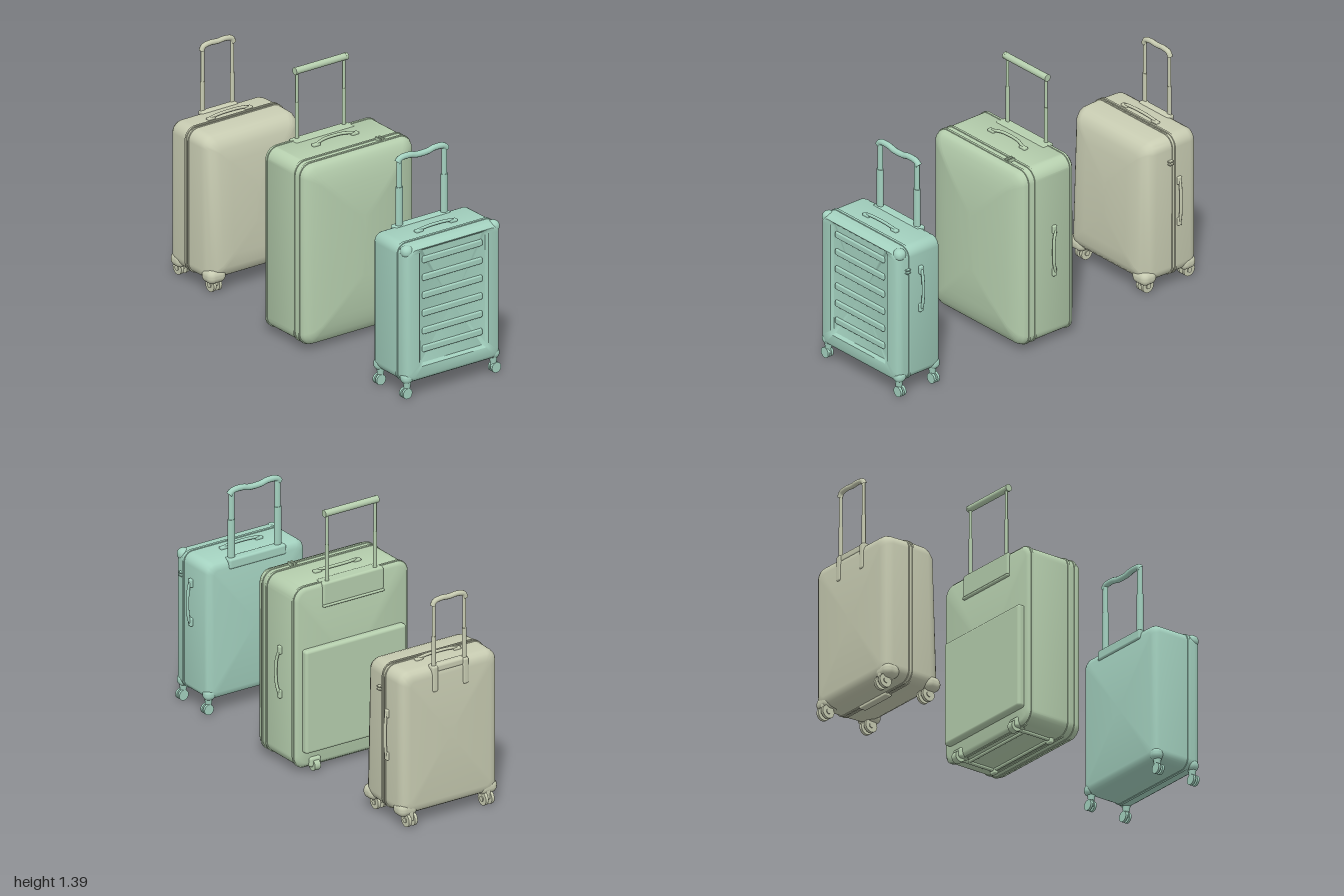
import * as THREE from 'three';
import { toCreasedNormals } from 'three/addons/utils/BufferGeometryUtils.js';
import { RoundedBoxGeometry } from 'three/addons/geometries/RoundedBoxGeometry.js';

// Rounded rectangle loop, counter-clockwise seen from +z
function loop(x0, x1, y0, y1, r, z) {
  r = Math.max(0.004, Math.min(r, (x1 - x0) / 2.1, (y1 - y0) / 2.1));
  const pts = [], n = 8;
  [[x1 - r, y1 - r], [x0 + r, y1 - r], [x0 + r, y0 + r], [x1 - r, y0 + r]].forEach(([cx, cy], q) => {
    for (let i = 0; i <= n; i++) {
      const a = (q + i / n) * Math.PI / 2;
      pts.push([cx + r * Math.cos(a), cy + r * Math.sin(a), z]);
    }
  });
  return pts;
}

// Shell lofted through rounded rectangles; profile rows are [z, inset, top inset]
function shell(b, profile, bend = (x, y, z) => z) {
  const rings = profile.map(([z, i, t = i]) =>
    loop(b.x0 + i, b.x1 - i, b.y0 + i, b.y1 - t, Math.max(b.r - i * 0.6, 0.02), z));
  const n = rings[0].length, pos = [], idx = [];
  rings.flat().forEach(([x, y, z]) => pos.push(x, y, bend(x, y, z)));
  for (let k = 0; k < rings.length - 1; k++) for (let j = 0; j < n; j++) {
    const a = k * n + j, c = k * n + (j + 1) % n;
    idx.push(a, c, c + n, a, c + n, a + n);
  }
  // end caps
  [0, rings.length - 1].forEach((k) => {
    const x = (b.x0 + b.x1) / 2, y = (b.y0 + b.y1) / 2, m = pos.length / 3;
    pos.push(x, y, bend(x, y, profile[k][0]));
    for (let j = 0; j < n; j++) {
      const a = k * n + j, c = k * n + (j + 1) % n;
      idx.push(m, ...(k ? [a, c] : [c, a]));
    }
  });
  const g = new THREE.BufferGeometry();
  g.setAttribute('position', new THREE.Float32BufferAttribute(pos, 3));
  g.setIndex(idx);
  return toCreasedNormals(g, 0.7);
}

// A suitcase group with helpers that share one material
function kit(name, color) {
  const group = new THREE.Group();
  group.name = name;
  const mat = new THREE.MeshStandardMaterial({ color });
  const add = (part, geo, x = 0, y = 0, z = 0) => {
    const m = new THREE.Mesh(geo, mat);
    m.name = part;
    m.position.set(x, y, z);
    group.add(m);
    return m;
  };
  const box = (part, x0, x1, y0, y1, z0, z1, r = 0.006) => add(part,
    new RoundedBoxGeometry(x1 - x0, y1 - y0, z1 - z0, 3, r), (x0 + x1) / 2, (y0 + y1) / 2, (z0 + z1) / 2);
  const tube = (part, pts, r) => add(part, new THREE.TubeGeometry(
    new THREE.CatmullRomCurve3(pts.map((p) => new THREE.Vector3(...p))), 32, r, 10));
  const disc = (part, axis, r, w, x, y, z) => {
    const m = add(part, new THREE.CylinderGeometry(r, r, w, 24), x, y, z);
    if (axis === 'x') m.rotation.z = Math.PI / 2;
    if (axis === 'z') m.rotation.x = Math.PI / 2;
    return m;
  };
  const seam = (b, z, w = 0.007, bend) => add('seamBand', shell(b,
    [[z - w - 0.002, 0.004], [z - w, -0.004], [z + w, -0.004], [z + w + 0.002, 0.004]], bend));
  // Carry handle arched along x (lying on top) or along y (on the left side)
  const carry = (part, side, c, len, rise, bow, at, z) => {
    const h = len / 2;
    const row = [[-h, 0, 0], [-h * 0.86, 0.55, 0], [-h * 0.5, 0.9, 1], [0, 1, 1.3],
      [h * 0.5, 0.9, 1], [h * 0.86, 0.55, 0], [h, 0, 0]];
    tube(part, row.map(([u, v, w]) => side
      ? [at + rise * v, c + u, z - bow * w] : [c + u, at + rise * v, z + bow * w]), 0.008);
    [-1, 1].forEach((s) => {
      const u = c + s * h * 0.92;
      if (side) box(part + 'Mount', at - 0.01, at + 0.014, u - 0.022, u + 0.022, z - 0.013, z + 0.013);
      else box(part + 'Mount', u - 0.022, u + 0.022, at - 0.01, at + 0.012, z - 0.013, z + 0.013);
    });
  };
  // Telescopic posts: wide sleeve below, slimmer stage above
  const posts = (xs, z, y0, y1, y2, r) => xs.forEach((x) => {
    add('handleSleeve', new THREE.CylinderGeometry(r, r, y1 - y0, 16), x, (y0 + y1) / 2, z).scale.z = 0.75;
    add('handlePost', new THREE.CylinderGeometry(r * 0.8, r * 0.8, y2 - y1, 16), x, (y1 + y2) / 2, z).scale.z = 0.75;
  });
  const lock = (x, y, z) => [-1, 1].forEach((s) => box('zipPull', x - 0.01, x + 0.012, y - 0.004 + s * 0.008,
    y + 0.004 + s * 0.008, z - 0.014, z + 0.014, 0.003));
  return { group, add, box, tube, disc, seam, carry, posts, lock };
}

// Small ribbed cabin case on tall swivel casters
function cabinCase() {
  const k = kit('cabinCase', 0xa4d2c0);
  const b = { x0: -0.31, x1: 0.285, y0: 0.08, y1: 0.82, r: 0.05 };
  k.add('body', shell(b, [[0.71, 0.04], [0.714, 0.022], [0.724, 0.008], [0.74, 0], [0.955, 0], [0.975, 0.004],
    [0.99, 0.014], [0.998, 0.03, 0.02], [0.998, 0.082, 0.022], [0.984, 0.096, 0.034]]));
  k.seam(b, 0.92);
  for (let i = 0; i < 6; i++) {
    const y = 0.25 + i * 0.0965;
    k.box('frontRib', -0.2, 0.17, y - 0.018, y + 0.018, 0.974, 0.994, 0.008);
  }
  // corner guards
  [b.x0, b.x1].forEach((x, i) => [b.y0, b.y1].forEach((y, j) => {
    const sx = i ? -1 : 1, sy = j ? -1 : 1;
    const xs = [x - sx * 0.003, x + sx * 0.06].sort((p, q) => p - q);
    const ys = [y - sy * 0.003, y + sy * 0.06].sort((p, q) => p - q);
    k.box('cornerGuard', ...xs, ...ys, 0.93, 0.995, 0.03);
    if (!j) k.box('cornerGuard', ...xs, ...ys, 0.71, 0.77, 0.028);
  }));
  // trolley handle
  k.box('handleTray', -0.19, 0.155, 0.77, 0.825, 0.702, 0.755, 0.012);
  k.posts([-0.155, 0.125], 0.733, 0.8, 1.03, 1.18, 0.02);
  k.tube('grip', [[-0.168, 1.165, 0.733], [-0.15, 1.183, 0.733], [-0.09, 1.187, 0.733], [-0.05, 1.178, 0.733],
    [0.02, 1.178, 0.733], [0.06, 1.187, 0.733], [0.12, 1.183, 0.733], [0.14, 1.165, 0.733]], 0.016);
  k.carry('topHandle', false, -0.015, 0.23, 0.016, 0, 0.82, 0.85);
  k.carry('sideHandle', true, 0.575, 0.23, 0.024, 0, 0.285, 0.85);
  k.lock(0.288, 0.7, 0.935);
  // twin casters turned sideways
  [-1, 1].forEach((s) => [0.745, 0.965].forEach((z) => {
    const x = s * 0.268 - 0.0125;
    k.add('casterStem', new THREE.CylinderGeometry(0.024, 0.016, 0.05, 16), x, 0.078, z);
    k.box('casterFork', x - 0.014, x + 0.014, 0.02, 0.07, z - 0.008, z + 0.008);
    [-1, 1].forEach((t) => k.disc('casterWheel', 'z', 0.028, 0.013, x + s * 0.008, 0.028, z + t * 0.0115));
  }));
  return k.group;
}

// Large soft case with a domed front and a flat back pocket
function largeCase() {
  const k = kit('largeCase', 0xb6cfae);
  const b = { x0: -0.355, x1: 0.33, y0: 0.025, y1: 1, r: 0.065 };
  k.add('body', shell(b, [[-0.122, 0.022], [-0.118, 0.008], [-0.108, 0], [0.185, 0], [0.203, 0.008], [0.216, 0.025],
    [0.227, 0.05], [0.239, 0.09], [0.248, 0.14], [0.256, 0.2], [0.261, 0.26], [0.264, 0.32]]));
  [-0.1, 0.13, 0.17].forEach((z) => k.seam(b, z, 0.006));
  k.box('backPocket', -0.32, 0.29, 0.11, 0.67, -0.157, -0.11, 0.016);
  // trolley handle
  k.box('handleTray', -0.2, 0.168, 0.88, 1.004, -0.132, -0.06, 0.012);
  k.box('trayRim', -0.2, 0.168, 0.872, 0.886, -0.137, -0.1);
  k.posts([-0.16, 0.132], -0.11, 0.9, 1.2, 1.37, 0.011);
  k.disc('grip', 'x', 0.018, 0.32, -0.014, 1.37, -0.107);
  [-0.17, 0.142].forEach((x) => k.disc('gripEnd', 'x', 0.019, 0.012, x, 1.37, -0.107));
  k.carry('topHandle', false, -0.015, 0.26, 0.016, -0.014, 1, 0.015);
  k.carry('sideHandle', true, 0.515, 0.26, 0.018, -0.012, 0.33, 0.01);
  [0.15, 0.17].forEach((x) => k.box('zipPull', x - 0.005, x + 0.005, 0.99, 1.016, 0.13, 0.175, 0.003));
  // base rails, rear wheels and front feet
  [-0.24, 0.215].forEach((x) => {
    k.box('baseRail', x - 0.01, x + 0.01, 0.014, 0.04, -0.09, 0.12);
    k.box('wheelHousing', x - 0.035, x + 0.035, 0.02, 0.075, -0.135, -0.07, 0.015);
    k.disc('wheel', 'x', 0.03, 0.034, x, 0.03, -0.122);
    k.box('foot', x - 0.02, x + 0.02, 0, 0.04, 0.09, 0.115);
  });
  [-0.06, 0.1].forEach((z) => k.box('baseCrossRail', -0.24, 0.215, 0.014, 0.04, z - 0.008, z + 0.008));
  return k.group;
}

// Medium rounded hard case on four wheels
function mediumCase() {
  const k = kit('mediumCase', 0xc8ccb2);
  const b = { x0: -0.308, x1: 0.282, y0: 0.06, y1: 0.84, r: 0.06 };
  // the front leans back slightly towards the top
  const lean = (x, y, z) => z - 0.035 * Math.max(0, (y - 0.4) / 0.44) ** 2 * Math.max(0, (z + 0.82) / 0.2);
  k.add('body', shell(b, [[-0.98, 0.055], [-0.977, 0.035], [-0.967, 0.017], [-0.95, 0.006], [-0.93, 0.002], [-0.82, 0],
    [-0.7, 0.003], [-0.675, 0.01], [-0.65, 0.024], [-0.632, 0.045], [-0.622, 0.075], [-0.617, 0.14], [-0.615, 0.28]], lean));
  [-0.813, -0.833].forEach((z) => k.seam(b, z, 0.005, lean));
  // trolley handle
  k.box('handleTray', -0.125, 0.1, 0.8, 0.845, -0.978, -0.935, 0.015);
  [-0.105, 0.08].forEach((x) => k.box('postHousing', x - 0.018, x + 0.018, 0.7, 0.842, -0.985, -0.94, 0.012));
  k.posts([-0.105, 0.08], -0.966, 0.8, 1.0, 1.18, 0.013);
  k.tube('grip', [[-0.112, 1.165, -0.966], [-0.1, 1.188, -0.966], [-0.06, 1.197, -0.966], [-0.0125, 1.194, -0.966],
    [0.035, 1.197, -0.966], [0.075, 1.188, -0.966], [0.087, 1.165, -0.966]], 0.014);
  k.carry('topHandle', false, -0.0175, 0.25, 0.018, 0, 0.838, -0.86);
  k.carry('sideHandle', true, 0.475, 0.25, 0.018, 0, 0.28, -0.855);
  k.lock(0.288, 0.71, -0.795);
  // corner guards and wheels
  [-1, 1].forEach((s) => [[-0.955, -0.978, -0.885], [-0.685, -0.72, -0.625]].forEach(([z, z0, z1]) => {
    const x = s * 0.2325 - 0.013, xo = s * 0.297 - 0.013;
    k.box('cornerGuard', Math.min(xo, xo - s * 0.11), Math.max(xo, xo - s * 0.11), 0.055, 0.13, z0, z1, 0.034);
    k.box('wheelBracket', x - 0.014, x + 0.014, 0.03, 0.085, z - 0.022, z + 0.022, 0.008);
    [-1, 1].forEach((t) => k.disc('wheel', 'x', 0.036, 0.016, x + t * 0.018, 0.036, z));
    k.disc('axle', 'x', 0.014, 0.062, x, 0.036, z);
  }));
  k.box('baseFoot', -0.12, 0.095, 0.045, 0.07, -0.84, -0.8);
  return k.group;
}

export function createModel() {
  const model = new THREE.Group();
  model.name = 'suitcaseSet';
  model.add(cabinCase(), largeCase(), mediumCase());
  return model;
}
